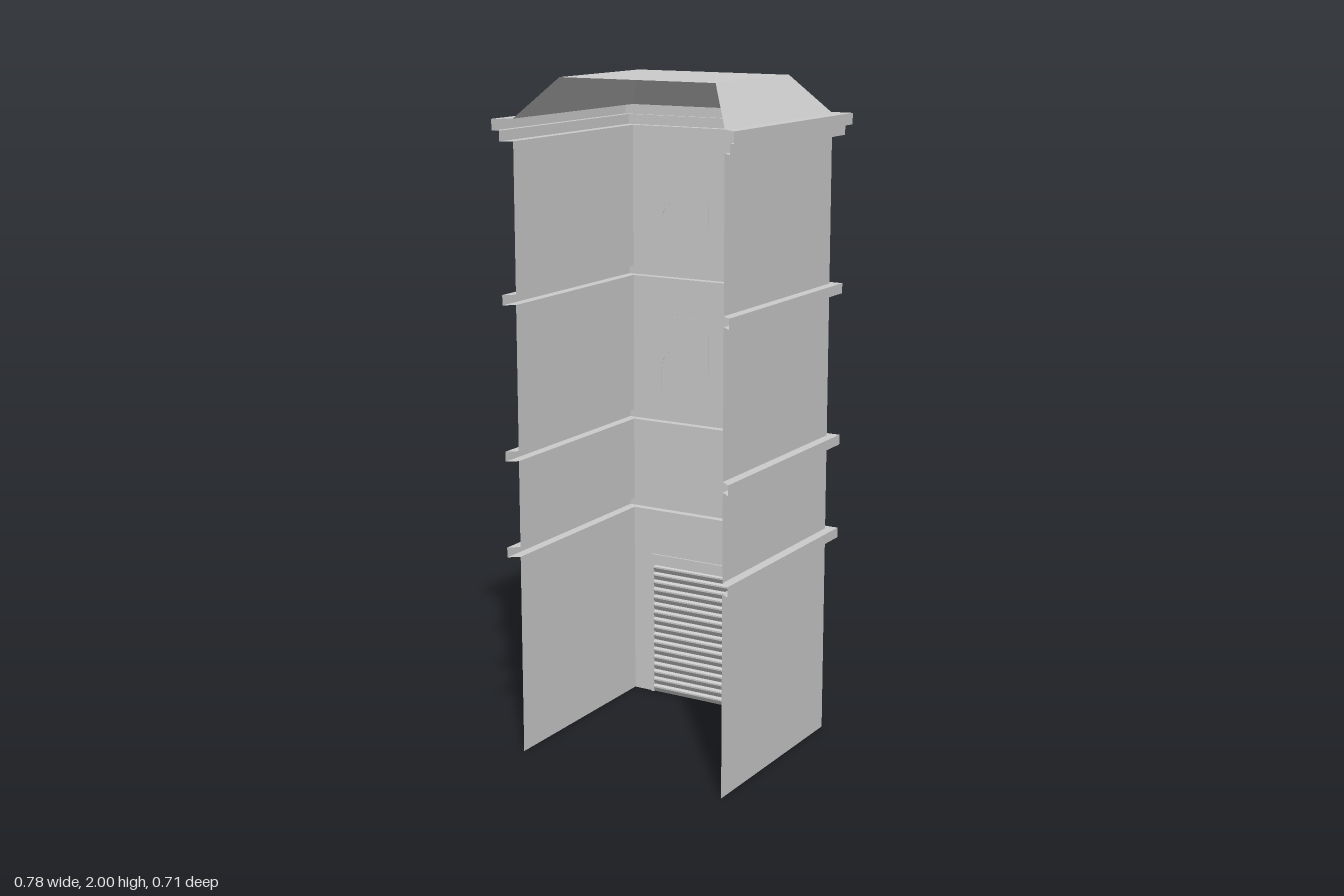
import * as THREE from 'three';

const material = new THREE.MeshStandardMaterial({ color: 0xcccccc, flatShading: true, side: THREE.DoubleSide });
const WALL_X = 0.34, WALL_Z = 0.317;

function addMesh(parent, name, geometry, x = 0, y = 0, z = 0) {
  const mesh = new THREE.Mesh(geometry, material);
  mesh.name = name;
  mesh.position.set(x, y, z);
  parent.add(mesh);
  return mesh;
}

// Sheet of quads between successive rows of points
function sheet(rows) {
  const pos = [];
  for (let i = 0; i < rows.length - 1; i++) {
    for (let j = 0; j < rows[i].length - 1; j++) {
      const a = rows[i][j], b = rows[i][j + 1], c = rows[i + 1][j + 1], d = rows[i + 1][j];
      pos.push(...a, ...b, ...c, ...a, ...c, ...d);
    }
  }
  const geometry = new THREE.BufferGeometry();
  geometry.setAttribute('position', new THREE.Float32BufferAttribute(pos, 3));
  geometry.computeVertexNormals();
  return geometry;
}

// Profile of [half width, half depth, height] carried round three sides, open at the front
const wrap = (profile) => sheet(profile.map(([x, z, y]) =>
  [[x, y, z], [x, y, -z], [-x, y, -z], [-x, y, z]]));

const polygon = (points) => new THREE.Shape(points.map(([x, y]) => new THREE.Vector2(x, y)));

const extrude = (shape, depth) =>
  new THREE.ExtrudeGeometry(shape, { depth, bevelEnabled: false, curveSegments: 16 });

// Window with a stepped hood and an arched surround, base at y = 0
function createWindow() {
  const group = new THREE.Group();
  group.name = 'window';

  const hood = polygon([[-0.107, 0.14], [-0.107, 0.31], [0.107, 0.31], [0.107, 0.14],
    [0.082, 0.14], [0.082, 0.282], [-0.082, 0.282], [-0.082, 0.14]]);
  addMesh(group, 'windowHood', extrude(hood, 0.035), 0, 0, -0.351);

  const arch = polygon([[-0.082, 0], [-0.082, 0.282], [0.082, 0.282], [0.082, 0], [0.06, 0]]);
  arch.lineTo(0.06, 0.147);
  arch.absarc(0, 0.147, 0.06, 0, Math.PI, false);
  arch.lineTo(-0.06, 0);
  addMesh(group, 'windowArch', extrude(arch, 0.018), 0, 0, -0.334);
  return group;
}

export function createModel() {
  const model = new THREE.Group();
  model.name = 'townHouse';

  // Ground floor: plain side walls and a back wall with the shutter opening
  const floorTop = 0.61;
  for (const s of [-1, 1]) {
    addMesh(model, 'groundSideWall', sheet([
      [[s * WALL_X, 0, s * WALL_Z], [s * WALL_X, 0, -s * WALL_Z]],
      [[s * WALL_X, floorTop, s * WALL_Z], [s * WALL_X, floorTop, -s * WALL_Z]],
    ]));
  }
  const facade = polygon([[-WALL_X, 0], [-0.265, 0], [-0.265, 0.43], [0.265, 0.43],
    [0.265, 0], [WALL_X, 0], [WALL_X, floorTop], [-WALL_X, floorTop]]);
  const facadeGeometry = new THREE.ShapeGeometry(facade);
  facadeGeometry.rotateY(Math.PI);
  addMesh(model, 'groundFacade', facadeGeometry, 0, 0, -WALL_Z);

  // Upper walls between the bands
  for (const [y0, y1] of [[0.64, 0.9], [0.93, 1.36], [1.39, 1.825]]) {
    addMesh(model, 'upperWalls', wrap([[WALL_X, WALL_Z, y0], [WALL_X, WALL_Z, y1]]));
  }

  // Floor bands, hollow on the inside
  for (const y of [0.61, 0.9, 1.36]) {
    addMesh(model, 'floorBand', wrap([[WALL_X, WALL_Z, y], [0.37, 0.342, y],
      [0.37, 0.342, y + 0.03], [WALL_X, WALL_Z, y + 0.03]]));
  }

  // Stepped cornice
  addMesh(model, 'cornice', wrap([[WALL_X, WALL_Z, 1.825], [0.37, 0.342, 1.825], [0.37, 0.342, 1.855],
    [0.388, 0.353, 1.855], [0.388, 0.353, 1.888], [WALL_X, WALL_Z, 1.888]]));

  // Hipped roof with a flat top
  addMesh(model, 'roofSlopes', wrap([[WALL_X, WALL_Z, 1.888], [0.252, 0.212, 2]]));
  addMesh(model, 'roofTop', sheet([
    [[-0.252, 2, 0.212], [0.252, 2, 0.212]],
    [[-0.252, 2, -0.212], [0.252, 2, -0.212]],
  ]));

  // Windows on the two upper floors
  for (const y of [0.93, 1.39]) {
    for (const x of [-0.177, 0.177]) {
      const win = createWindow();
      win.position.set(x, y, 0);
      model.add(win);
    }
  }

  // Shutter frame
  const frame = polygon([[-0.274, 0], [-0.274, 0.465], [0.274, 0.465], [0.274, 0],
    [0.265, 0], [0.265, 0.43], [-0.265, 0.43], [-0.265, 0]]);
  addMesh(model, 'shutterFrame', extrude(frame, 0.008), 0, 0, -0.319);

  // Roller shutter of sloping slats
  const slats = 17, step = 0.43 / slats, rows = [];
  for (let i = 0; i < slats; i++) {
    for (const [y, z] of [[0, -0.318], [0.6, -0.309], [0.8, -0.309]]) {
      rows.push([[0.265, (i + y) * step, z], [-0.265, (i + y) * step, z]]);
    }
  }
  rows.push([[0.265, 0.43, -0.318], [-0.265, 0.43, -0.318]]);
  addMesh(model, 'rollerShutter', sheet(rows));

  // Blank sign board above the shutter
  addMesh(model, 'signBoard', new THREE.BoxGeometry(0.56, 0.115, 0.012), 0, 0.54, -0.339);

  return model;
}
